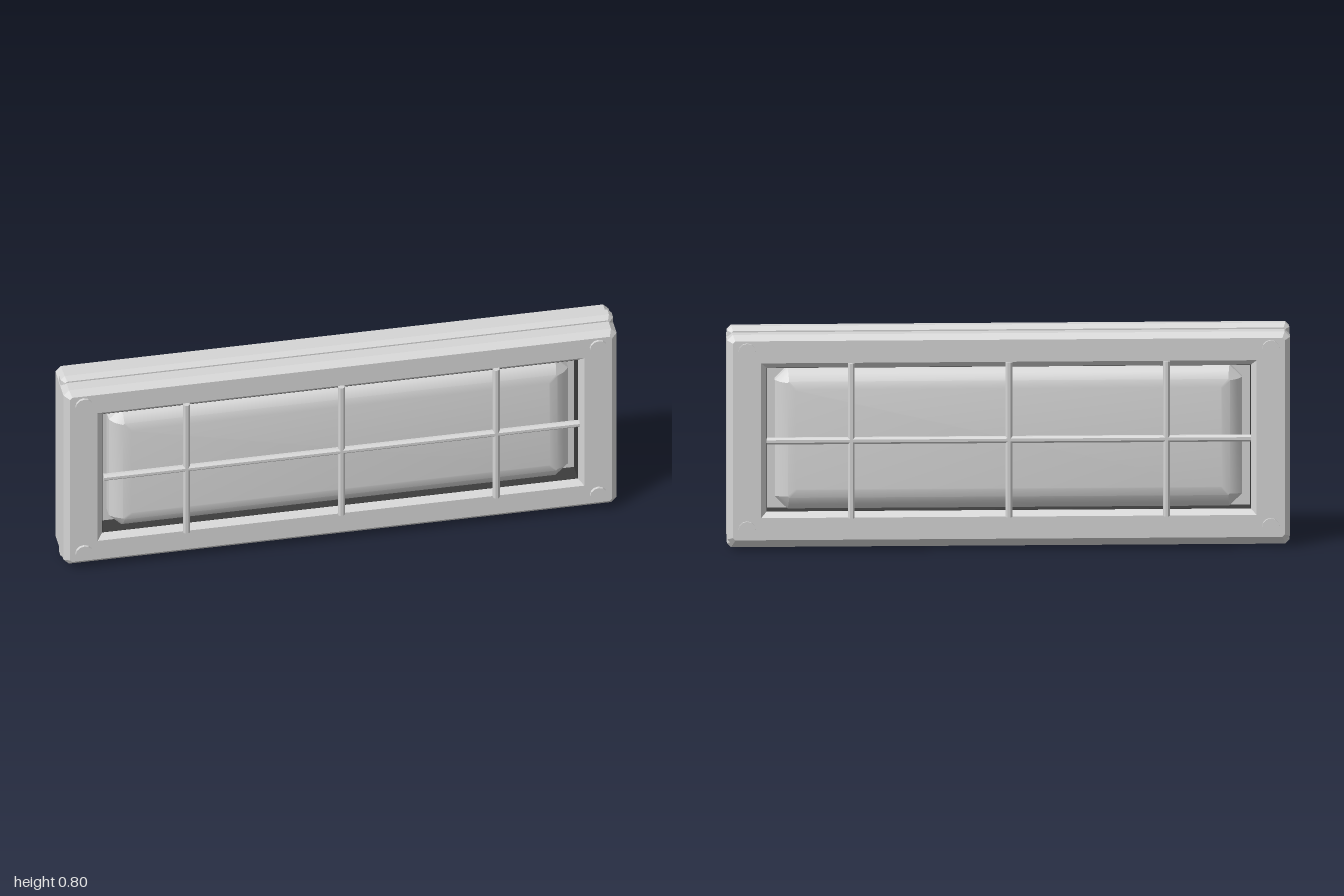
import * as THREE from 'three';
import { toCreasedNormals } from 'three/addons/utils/BufferGeometryUtils.js';

const MID = 0.4; // height of the centre line

// Corners of a rectangle with cut corners, counter-clockwise
function cutRect(hx, hy, c) {
  return [
    [hx, -hy + c], [hx, hy - c], [hx - c, hy], [-hx + c, hy],
    [-hx, hy - c], [-hx, -hy + c], [-hx + c, -hy], [hx - c, -hy],
  ].map(([x, y]) => new THREE.Vector2(x, y));
}

// Rectangular frame with a rectangular opening, centred on z = 0
function frameGeometry(hx, hy, halfDepth, bevel, holeX, holeY) {
  const cut = bevel * (Math.SQRT2 - 1);
  const outline = bevel > 0 ? cutRect(hx - bevel, hy - bevel, cut) : [
    new THREE.Vector2(hx, -hy), new THREE.Vector2(hx, hy),
    new THREE.Vector2(-hx, hy), new THREE.Vector2(-hx, -hy),
  ];
  const shape = new THREE.Shape(outline);
  shape.holes.push(new THREE.Path([
    new THREE.Vector2(-holeX, -holeY), new THREE.Vector2(-holeX, holeY),
    new THREE.Vector2(holeX, holeY), new THREE.Vector2(holeX, -holeY),
  ]));
  const depth = 2 * (halfDepth - bevel);
  const geo = new THREE.ExtrudeGeometry(shape, {
    depth, bevelEnabled: bevel > 0, bevelThickness: bevel, bevelSize: bevel, bevelSegments: 1,
  });
  return geo.translate(0, 0, -depth / 2);
}

// Shallow raised pane with soft edges and faceted corners, from rings [hx, hy, cut, z]
function paneGeometry() {
  const rings = [
    [0.83, 0.255, 0.045, 0], [0.83, 0.255, 0.045, 0.045],
    [0.812, 0.237, 0.03, 0.066], [0.785, 0.21, 0.005, 0.081], [0.757, 0.182, 0.004, 0.088],
  ];
  const pos = [];
  const idx = [];
  rings.forEach(([hx, hy, c, z]) => cutRect(hx, hy, c).forEach((p) => pos.push(p.x, p.y, z)));
  for (let r = 0; r < rings.length - 1; r++) {
    for (let i = 0; i < 8; i++) {
      const a = r * 8 + i, b = r * 8 + (i + 1) % 8;
      idx.push(a, b, b + 8, a, b + 8, a + 8);
    }
  }
  const top = (rings.length - 1) * 8;
  for (let i = 1; i < 7; i++) idx.push(top, top + i, top + i + 1);
  const geo = new THREE.BufferGeometry();
  geo.setAttribute('position', new THREE.Float32BufferAttribute(pos, 3));
  geo.setIndex(idx);
  return toCreasedNormals(geo, 0.38);
}

export function createModel() {
  const model = new THREE.Group();
  model.name = 'framedPanel';
  const grey = new THREE.MeshStandardMaterial({ color: 0xd5d5d5 });
  grey.name = 'light grey';
  const dark = new THREE.MeshStandardMaterial({ color: 0x3c3c3c });
  dark.name = 'dark grey';

  const add = (parent, name, geo, x = 0, y = 0, z = 0, material = grey) => {
    const mesh = new THREE.Mesh(geo, material);
    mesh.name = name;
    mesh.position.set(x, y, z);
    parent.add(mesh);
  };

  // Main frame, the ridge around its rim and the panel closing the opening
  add(model, 'frame', frameGeometry(1, 0.38, 0.095, 0.02, 0.88, 0.28), 0, MID);
  add(model, 'rimRidge', frameGeometry(0.999, 0.4, 0.03, 0.015, 0.95, 0.34), 0, MID);
  add(model, 'recessFloor', new THREE.BoxGeometry(1.74, 0.54, 0.01), 0, MID);
  // Dark walls of the recess
  add(model, 'recessLining', frameGeometry(0.863, 0.263, 0.075, 0, 0.859, 0.259), 0, MID, 0, dark);

  const pane = paneGeometry();
  const uprightBar = toCreasedNormals(
    new THREE.CylinderGeometry(0.013, 0.013, 0.56, 8).rotateY(Math.PI / 8), 0.3);
  const crossBar = toCreasedNormals(
    new THREE.CylinderGeometry(0.013, 0.013, 1.72, 8).rotateY(Math.PI / 8).rotateZ(Math.PI / 2), 0.3);
  const bolt = toCreasedNormals(
    new THREE.CylinderGeometry(0.031, 0.031, 0.02, 12).rotateX(Math.PI / 2), 0.3);

  // Identical fittings on the front and the back
  for (const side of ['front', 'back']) {
    const face = new THREE.Group();
    face.name = side + 'Fittings';
    if (side === 'back') face.rotation.y = Math.PI;
    model.add(face);

    add(face, 'pane', pane, 0, MID);
    for (const x of [-0.56, 0, 0.56]) add(face, 'uprightBar', uprightBar, x, MID, 0.1);
    add(face, 'crossBar', crossBar, 0, MID, 0.1);
    for (const x of [-0.93, 0.93]) {
      for (const y of [-0.322, 0.322]) add(face, 'bolt', bolt, x, MID + y, 0.095);
    }
  }
  return model;
}
